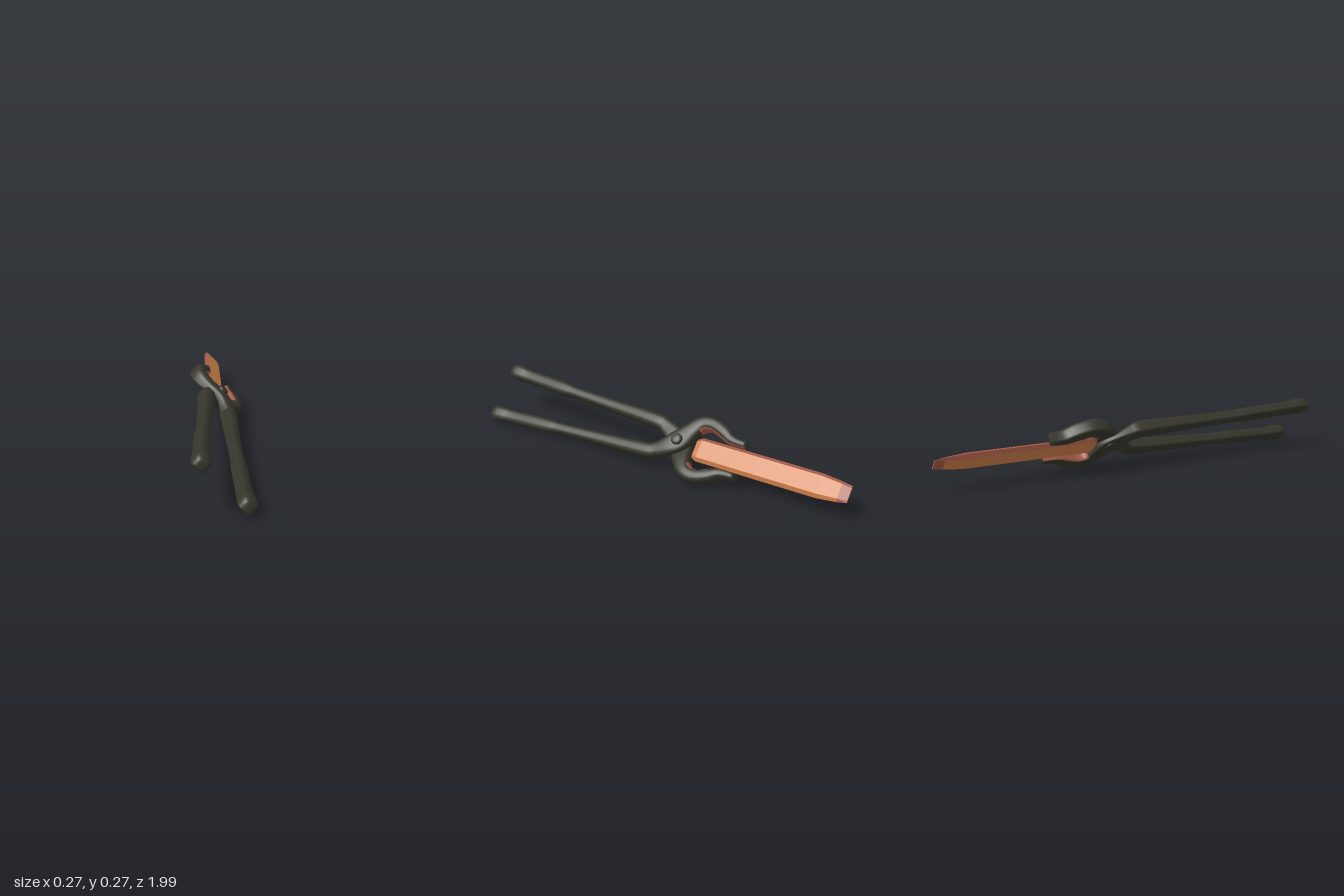
import * as THREE from 'three';

const mat = (name, color) => {
  const m = new THREE.MeshStandardMaterial({ color });
  m.name = name;
  return m;
};

// Unit cross-sections: x across (-1..1), y from underside (0) to top (1)
const pow = (v, e) => Math.sign(v) * Math.abs(v) ** e;
const roundSection = Array.from({ length: 24 }, (_, i) => {
  const a = (i / 24) * Math.PI * 2, s = Math.sin(a);
  const e = s < 0 ? 0.35 : 0.75; // flat underside, rounded top
  return [pow(Math.cos(a), e), 0.5 + 0.5 * pow(s, e)];
});
const hexSection = [[1, 0.5], [0.72, 1], [-0.72, 1], [-1, 0.5], [-0.72, 0], [0.72, 0]];

// Sweeps a section through stations [x, z, halfWidth, bottom, top];
// pick(z, sectionX) returns the material index of each face
function sweep(stations, section, sub, pick) {
  const spine = new THREE.CatmullRomCurve3(stations.map(s => new THREE.Vector3(s[0], s[1], s[2])), false, 'catmullrom');
  const heights = new THREE.CatmullRomCurve3(stations.map(s => new THREE.Vector3(s[3], s[4], 0)), false, 'catmullrom');
  const steps = (stations.length - 1) * sub, n = section.length;
  const pos = [], rings = [], faces = [[], []];
  for (let k = 0; k <= steps; k++) {
    const t = k / steps, p = spine.getPoint(t), h = heights.getPoint(t);
    const a = spine.getPoint(Math.max(0, t - 0.01)), b = spine.getPoint(Math.min(1, t + 0.01));
    const dx = b.x - a.x, dz = b.y - a.y, len = Math.hypot(dx, dz) || 1;
    rings.push(p.y);
    for (const [sx, sy] of section) {
      pos.push(p.x - (dz / len) * p.z * sx, h.x + (h.y - h.x) * sy, p.y + (dx / len) * p.z * sx);
    }
  }
  for (let k = 0; k < steps; k++) {
    for (let i = 0; i < n; i++) {
      const j = (i + 1) % n, a = k * n + i, b = k * n + j, d = a + n, c = b + n;
      const side = (section[i][0] + section[j][0]) / 2;
      faces[pick((rings[k] + rings[k + 1]) / 2, side)].push(a, d, b, b, d, c);
    }
  }
  // End caps
  for (const [k, z] of [[0, rings[0]], [steps, rings[steps]]]) {
    const base = k * n, f = faces[pick(z, 0)];
    for (let i = 1; i < n - 1; i++) {
      if (k === 0) f.push(base, base + i, base + i + 1);
      else f.push(base, base + i + 1, base + i);
    }
  }
  const geo = new THREE.BufferGeometry();
  geo.setAttribute('position', new THREE.Float32BufferAttribute(pos, 3));
  geo.setIndex([...faces[0], ...faces[1]]);
  geo.addGroup(0, faces[0].length, 0);
  geo.addGroup(faces[0].length, faces[1].length, 1);
  return geo;
}

export function createModel() {
  const iron = mat('dark iron', 0x35352b);
  const hot = mat('hot orange metal', 0xc97b46);
  const scorched = mat('scorched red metal', 0xa35a47);

  const group = new THREE.Group();
  group.name = 'tongsWithHotBar';
  const add = (name, geo, material) => {
    const m = new THREE.Mesh(geo, material);
    m.name = name;
    group.add(m);
    return m;
  };

  // Handle, halved joint and curved jaw of one arm; side = 1 handle at +x
  const arm = (side, jointBottom, jointTop) => [
    [0.126, 0.99, 0.012, -0.015, 0.005],
    [0.126, 0.982, 0.027, -0.026, 0.022],
    [0.125, 0.955, 0.039, -0.028, 0.034],
    [0.123, 0.91, 0.038, -0.028, 0.034],
    [0.119, 0.84, 0.034, -0.028, 0.028],
    [0.108, 0.62, 0.034, -0.028, 0.03],
    [0.103, 0.53, 0.028, -0.026, 0.028],
    [0.092, 0.3, 0.03, -0.026, 0.032],
    [0.078, 0.02, 0.036, -0.028, 0.044],
    [0.064, -0.04, 0.037, Math.max(-0.028, jointBottom - 0.025), Math.min(0.046, jointTop + 0.025)],
    [0.03, -0.1, 0.046, jointBottom, jointTop],
    [-0.01, -0.145, 0.054, jointBottom, jointTop],
    [-0.075, -0.185, 0.044, Math.max(-0.028, jointBottom - 0.025), Math.min(0.048, jointTop + 0.025)],
    [-0.122, -0.225, 0.036, -0.028, 0.048],
    [-0.133, -0.28, 0.033, -0.028, 0.049],
    [-0.112, -0.345, 0.031, -0.027, 0.048],
    [-0.088, -0.39, 0.025, -0.025, 0.044],
    [-0.081, -0.43, 0.02, -0.024, 0.04],
    [-0.08, -0.473, 0.018, -0.023, 0.037],
  ].map(([x, ...rest]) => [x * side, ...rest]);

  // Jaw faces turned towards the bar are heat-stained
  const inside = side => (z, sx) => (z < -0.2 && sx * side > 0.8 ? 1 : 0);
  for (const [name, side, lo, hi] of [['upperArm', 1, 0.008, 0.055], ['lowerArm', -1, -0.028, 0.01]]) {
    const geo = sweep(arm(side, lo, hi), roundSection, 4, inside(side));
    geo.computeVertexNormals();
    add(name, geo, [iron, scorched]);
  }

  // Rivet through the joint
  const rivetProfile = [[0, -0.028], [0.028, -0.028], [0.028, 0.06], [0.024, 0.067], [0.014, 0.07], [0, 0.071]];
  const rivet = add('rivet', new THREE.LatheGeometry(rivetProfile.map(p => new THREE.Vector2(...p)), 20), iron);
  rivet.position.set(-0.006, 0, -0.145);

  // Hot bar with bevelled edges; one edge and the tip are scorched
  const bar = [
    [-0.225, 0.048, 0.01], [-0.25, 0.06, 0.016], [-0.55, 0.06, 0.016], [-0.86, 0.059, 0.016],
    [-0.955, 0.049, 0.01], [-1, 0.04, 0.004],
  ].map(([z, w, h]) => [-0.002, z, w, -0.004 - h, -0.004 + h]);
  const barGeo = sweep(bar, hexSection, 1, (z, sx) => (z < -0.96 || sx < -0.5 ? 1 : 0)).toNonIndexed();
  barGeo.computeVertexNormals();
  add('hotBar', barGeo, [hot, scorched]);

  // The flat tool is tilted about its long axis
  group.rotation.z = -Math.PI / 4;
  group.position.y = 0.135;
  const model = new THREE.Group();
  model.name = 'blacksmithTongs';
  model.add(group);
  return model;
}
